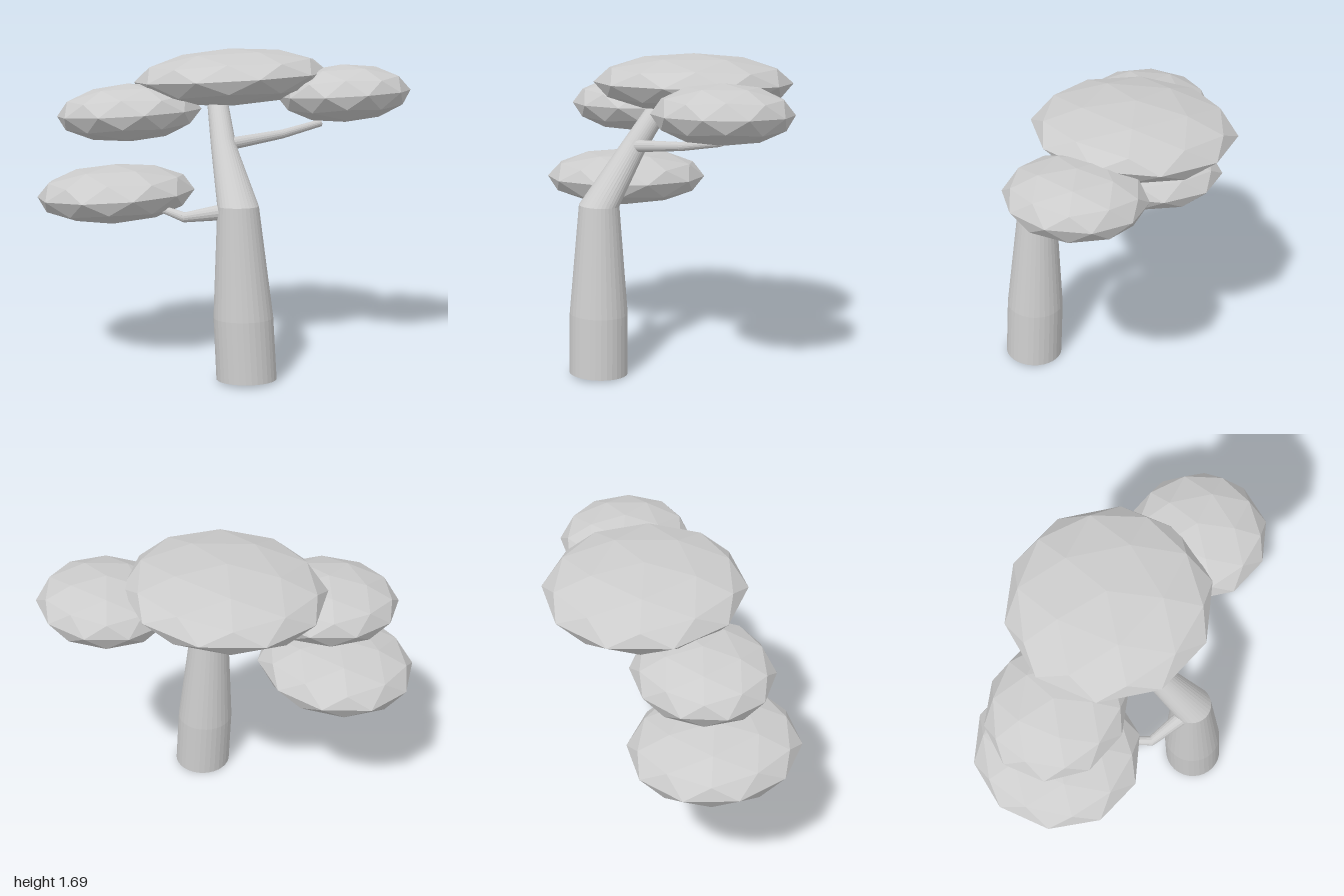
import * as THREE from 'three';

// Open tube through rings [x, y, z, radius, tilt]; tilt leans a ring towards the back (about x)
function loft(rings, sides) {
  const pos = [], index = [];
  rings.forEach(([x, y, z, r, tilt]) => {
    for (let i = 0; i < sides; i++) {
      const a = (i / sides) * Math.PI * 2;
      const c = Math.cos(a) * r, s = Math.sin(a) * r;
      pos.push(x + c, y + s * Math.sin(tilt), z + s * Math.cos(tilt));
    }
  });
  for (let k = 0; k < rings.length - 1; k++) {
    for (let i = 0; i < sides; i++) {
      const j = (i + 1) % sides, a = k * sides, b = a + sides;
      index.push(a + i, b + i, a + j, a + j, b + i, b + j);
    }
  }
  const g = new THREE.BufferGeometry();
  g.setAttribute('position', new THREE.Float32BufferAttribute(pos, 3));
  g.setIndex(index);
  g.computeVertexNormals();
  return g;
}

// Straight tapered limb between two points
function limb(p, q, r0, r1, material) {
  const a = new THREE.Vector3(...p), b = new THREE.Vector3(...q);
  const d = b.clone().sub(a);
  const mesh = new THREE.Mesh(new THREE.CylinderGeometry(r1, r0, d.length(), 16), material);
  mesh.position.copy(a).addScaledVector(d, 0.5);
  mesh.quaternion.setFromUnitVectors(new THREE.Vector3(0, 1, 0), d.normalize());
  return mesh;
}

// Two-piece branch with a rounded elbow; points are [x, y, z, radius]
function branch(name, points, material) {
  const g = new THREE.Group();
  g.name = name;
  for (let i = 0; i < 2; i++) {
    const p = points[i], q = points[i + 1];
    const m = limb(p.slice(0, 3), q.slice(0, 3), p[3], q[3], material);
    m.name = name + 'Section' + (i + 1);
    g.add(m);
  }
  const elbow = new THREE.Mesh(new THREE.SphereGeometry(points[1][3], 16, 10), material);
  elbow.position.set(...points[1].slice(0, 3));
  elbow.name = name + 'Elbow';
  g.add(elbow);
  return g;
}

export function createModel() {
  const model = new THREE.Group();
  model.name = 'tree';
  const grey = new THREE.MeshStandardMaterial({ color: 0xcccccc, flatShading: true, side: THREE.DoubleSide });
  grey.name = 'plain grey';

  // Trunk, open below, bending backwards above the middle
  const trunk = new THREE.Mesh(loft([
    [0.045, 0.01, 0.48, 0.157, 0.05],
    [0.03, 0.335, 0.467, 0.155, 0.04],
    [0.005, 0.915, 0.445, 0.107, 0.05],
    [-0.033, 1.2, 0.215, 0.066, 0.68],
    [-0.037, 1.4, 0.055, 0.056, 0.68],
  ], 32), grey);
  trunk.name = 'trunk';
  model.add(trunk);

  // Branches
  model.add(branch('upperBranch', [
    [0, 1.21, 0.22, 0.033], [0.3, 1.245, 0.12, 0.024], [0.53, 1.29, 0.02, 0.02],
  ], grey));
  model.add(branch('lowerBranch', [
    [-0.06, 0.888, 0.44, 0.043], [-0.26, 0.85, 0.36, 0.026], [-0.35, 0.87, 0.22, 0.02],
  ], grey));

  // Faceted foliage pads: one pole-up icosphere, flattened and slightly tilted
  const ball = new THREE.IcosahedronGeometry(1, 1);
  ball.rotateZ(Math.atan(2 / (1 + Math.sqrt(5))));
  ball.rotateY(Math.PI + 0.113);
  const pads = [
    ['topFoliage', 0.06, 1.535, -0.1, 0.53, 0.535],
    ['upperRightFoliage', -0.5, 1.355, -0.065, 0.39, 0.36],
    ['lowerRightFoliage', -0.58, 0.925, -0.033, 0.425, 0.458],
    ['leftFoliage', 0.645, 1.455, 0.08, 0.358, 0.362],
  ];
  for (const [name, x, y, z, rx, rz] of pads) {
    const pad = new THREE.Mesh(ball, grey);
    pad.name = name;
    pad.position.set(x, y, z);
    pad.scale.set(rx, 0.155, rz);
    pad.rotation.set(-0.04, 0, 0.05);
    model.add(pad);
  }
  return model;
}
